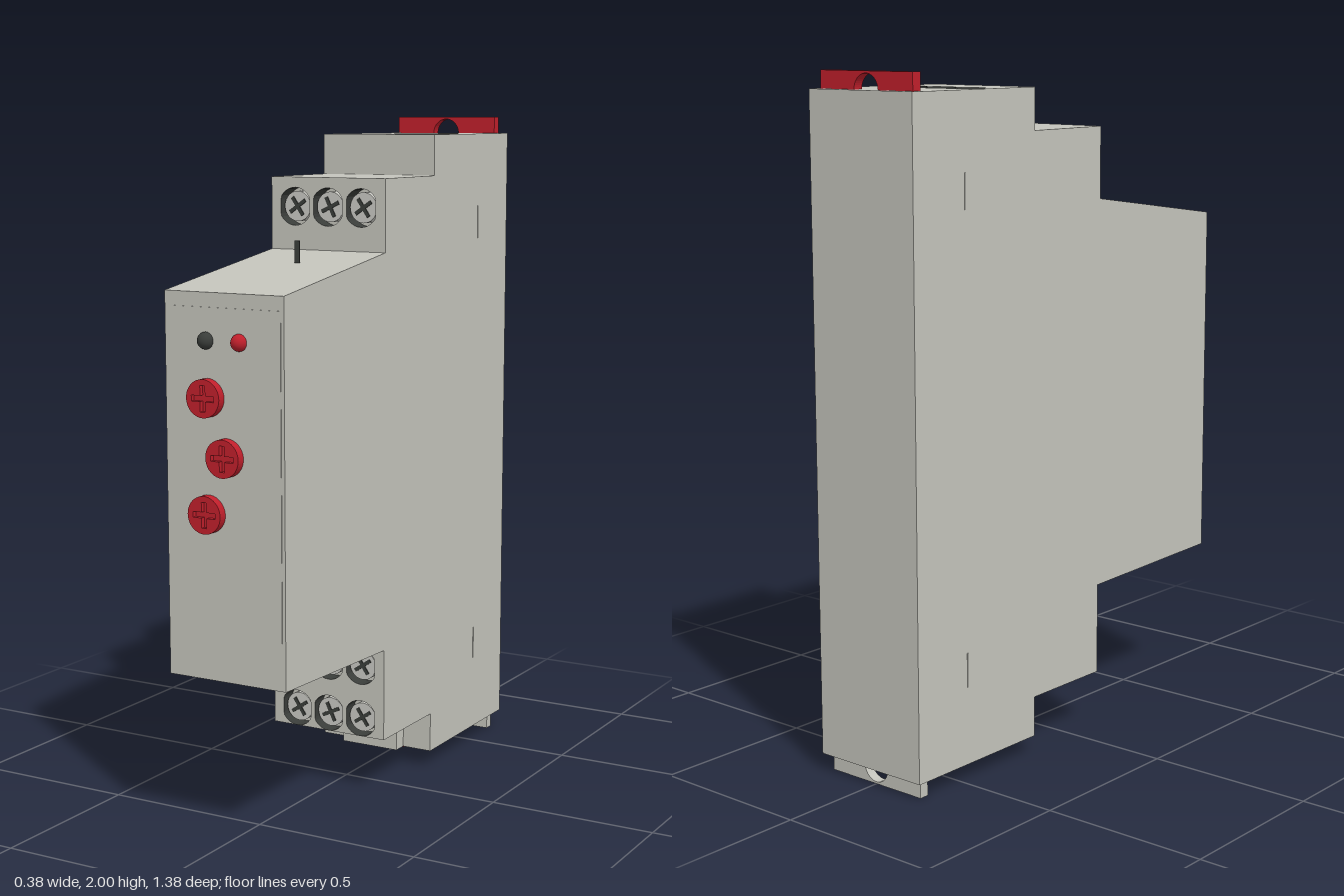
import * as THREE from 'three';

const mat = (name, color, side = THREE.FrontSide) => {
  const m = new THREE.MeshStandardMaterial({ color, side });
  m.name = name;
  return m;
};
const V2 = (x, y) => new THREE.Vector2(x, y);

export function createModel() {
  const model = new THREE.Group();
  model.name = 'railRelay';
  const grey = mat('housing grey', 0xc3c3bb, THREE.DoubleSide);
  const steel = mat('screw steel', 0xc8c8c2);
  const dark = mat('dark grey', 0x3a3d3a, THREE.DoubleSide);
  const red = mat('red', 0xc01f2b);
  const copper = mat('copper', 0xa5652f);
  const W = 0.19, PITCH = 0.11, COLS = [-PITCH, 0, PITCH];

  const add = (parent, name, geo, material, x = 0, y = 0, z = 0) => {
    const m = new THREE.Mesh(geo, material);
    m.name = name;
    m.position.set(x, y, z);
    parent.add(m);
    return m;
  };
  const disc = (r, h, seg = 28) => new THREE.CylinderGeometry(r, r, h, seg).rotateX(Math.PI / 2);

  // Outline of three merged wire entries
  const wireOutline = cy => {
    const r = 0.057, a = Math.acos(PITCH / 2 / r), upper = [];
    for (const c of [PITCH, 0, -PITCH]) {
      const t0 = c > 0 ? 0 : a, t1 = c < 0 ? Math.PI : Math.PI - a;
      for (let i = c > 0 ? 0 : 1; i < 16; i++) {
        const t = t0 + (t1 - t0) * i / 16;
        upper.push(V2(c + r * Math.cos(t), r * Math.sin(t)));
      }
    }
    return [...upper, ...upper.map(p => V2(-p.x, -p.y))].map(p => V2(p.x, p.y + cy));
  };

  // Outline of a screw pocket: a circle with flattened sides
  const screwOutline = (cx, cy) => Array.from({ length: 32 }, (_, i) => {
    const t = i / 32 * Math.PI * 2;
    return V2(cx + THREE.MathUtils.clamp(0.055 * Math.cos(t), -0.048, 0.048), cy + 0.055 * Math.sin(t));
  });

  // Wall running inwards from an outline
  const wall = (pts, depth) => {
    const pos = [];
    pts.forEach((p, i) => {
      const q = pts[(i + 1) % pts.length];
      pos.push(p.x, p.y, 0, q.x, q.y, -depth, q.x, q.y, 0);
      pos.push(p.x, p.y, 0, p.x, p.y, -depth, q.x, q.y, -depth);
    });
    const g = new THREE.BufferGeometry();
    g.setAttribute('position', new THREE.Float32BufferAttribute(pos, 3));
    g.computeVertexNormals();
    return g;
  };

  // Side profile as (z, y), with the openings of the edge that starts at each point
  const profile = [
    { p: [0.66, 0.465] },
    { p: [0.66, 1.54] },
    { p: [0.11, 1.62], screws: [0.125] },
    { p: [0.11, 1.83] },
    { p: [-0.19, 1.83] },
    { p: [-0.19, 1.95], wires: 0.2 },
    { p: [-0.69, 1.95] },
    { p: [-0.69, 0.055], wires: 0.3 },
    { p: [-0.19, 0.055] },
    { p: [-0.19, 0.175] },
    { p: [0.11, 0.175], screws: [0.055, 0.215] },
    { p: [0.11, 0.45] },
  ];

  // Housing sides
  for (const s of [1, -1]) {
    const shape = new THREE.Shape(profile.map(e => V2(-s * e.p[0], e.p[1])));
    add(model, s > 0 ? 'leftSide' : 'rightSide',
      new THREE.ShapeGeometry(shape).rotateY(s * Math.PI / 2), grey, s * W);
    for (const y of [1.68, 0.335])
      add(model, 'sideLatch', new THREE.BoxGeometry(0.004, 0.1, 0.006), grey, s * W, y, -0.485);
  }

  // Housing panels, each in its own frame: x across, y along the edge, z outwards
  profile.forEach((e, i) => {
    const [z0, y0] = e.p, [z1, y1] = profile[(i + 1) % profile.length].p;
    const dir = new THREE.Vector3(0, y1 - y0, z1 - z0), len = dir.length();
    dir.normalize();
    const X = new THREE.Vector3(1, 0, 0);
    const panel = new THREE.Group();
    panel.name = 'housingPanel' + (i + 1);
    panel.quaternion.setFromRotationMatrix(
      new THREE.Matrix4().makeBasis(X, dir, X.clone().cross(dir)));
    panel.position.set(0, y0, z0);
    model.add(panel);
    const shape = new THREE.Shape([V2(-W, 0), V2(W, 0), V2(W, len), V2(-W, len)]);

    // Terminal screws in their pockets
    for (const y of e.screws || []) {
      COLS.forEach((x, k) => {
        const pts = screwOutline(x, y);
        shape.holes.push(new THREE.Path(pts));
        add(panel, 'screwPocket', wall(pts, 0.05), dark);
        add(panel, 'pocketFloor', new THREE.ShapeGeometry(new THREE.Shape(pts)), grey, 0, 0, -0.05);
        add(panel, 'screwHead', disc(0.044, 0.035), steel, x, y, -0.0325);
        for (const turn of [0, Math.PI / 2]) {
          const slot = add(panel, 'screwSlot', new THREE.BoxGeometry(0.062, 0.011, 0.004), dark, x, y, -0.014);
          slot.rotation.z = turn + (k === 1 ? 0.45 : 0.6);
        }
      });
    }

    // Wire entries with copper clamps below
    if (e.wires) {
      const pts = wireOutline(e.wires);
      shape.holes.push(new THREE.Path(pts));
      add(panel, 'wireEntry', wall(pts, 0.14), dark);
      for (const x of COLS) {
        add(panel, 'copperClamp', new THREE.BoxGeometry(0.072, 0.13, 0.03), copper, x, e.wires, -0.155);
        add(panel, 'clampButton', disc(0.027, 0.006), copper, x, e.wires, -0.138);
      }
    }
    add(panel, 'housingFace', new THREE.ShapeGeometry(shape), grey);
  });

  // Front label plate
  add(model, 'frontPlate', new THREE.BoxGeometry(0.36, 0.9, 0.004), grey, 0, 1.05, 0.66);

  // Indicator lamps
  const dome = () => new THREE.SphereGeometry(0.024, 20, 8, 0, Math.PI * 2, 0, Math.PI / 2).rotateX(Math.PI / 2);
  [[-0.055, dark, 'darkLamp'], [0.052, red, 'redLamp']].forEach(([x, m, name]) => {
    add(model, name, dome(), m, x, 1.41, 0.664);
  });

  // Adjusting knobs with a cross-shaped recess
  const a = 0.008, b = 0.036;
  const cross = [[a, a], [a, b], [-a, b], [-a, a], [-b, a], [-b, -a],
    [-a, -a], [-a, -b], [a, -b], [a, -a], [b, -a], [b, a]].map(p => V2(...p));
  const cap = new THREE.Shape().absarc(0, 0, 0.053, 0, Math.PI * 2);
  cap.holes.push(new THREE.Path(cross));
  const capGeo = new THREE.ExtrudeGeometry(cap, { depth: 0.014, bevelEnabled: false, curveSegments: 20 });
  for (const [x, y] of [[-0.052, 1.255], [0.008, 1.095], [-0.052, 0.935]]) {
    add(model, 'knobBase', disc(0.053, 0.014, 40), red, x, y, 0.667);
    add(model, 'knobCap', capGeo, red, x, y, 0.674);
  }

  // Marker fin on the slope
  add(model, 'markerFin', new THREE.BoxGeometry(0.016, 0.066, 0.004), dark, 0, 1.625, 0.28);

  // Rail clips with a round notch, red above and grey below
  const clip = new THREE.Shape();
  clip.moveTo(0.17, 0).lineTo(0.17, 0.05).lineTo(-0.17, 0.05).lineTo(-0.17, 0).lineTo(-0.044, 0);
  clip.absarc(0, 0, 0.044, Math.PI, 0, true);
  const clipGeo = new THREE.ExtrudeGeometry(clip, { depth: 0.03, bevelEnabled: false });
  add(model, 'topClip', clipGeo, red, 0, 1.95, -0.665);
  add(model, 'bottomClip', clipGeo, grey, 0, 0.053, -0.635).rotation.x = Math.PI;
  model.getObjectByName('bottomClip').position.z = -0.635;

  // Bottom tab and release strip
  add(model, 'bottomTab', new THREE.BoxGeometry(0.19, 0.07, 0.045), grey, 0, 0.09, -0.1675);
  add(model, 'releaseStrip', new THREE.BoxGeometry(0.18, 0.006, 0.05), red, 0, 0.052, -0.225);

  return model;
}
